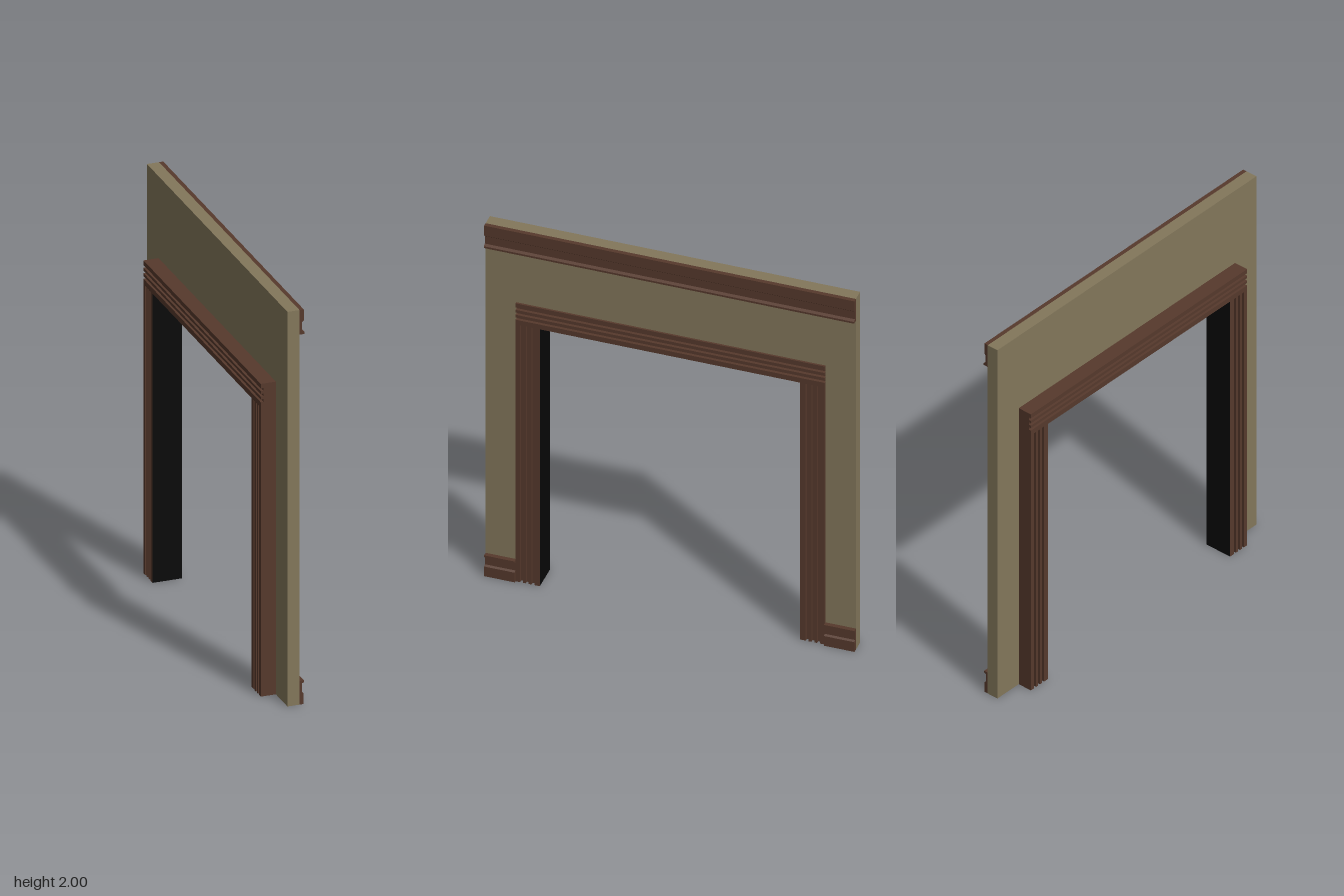
import * as THREE from 'three';

const paint = new THREE.MeshStandardMaterial({ color: 0x83775b });
paint.name = 'wallPaint';
const wood = new THREE.MeshStandardMaterial({ color: 0x56392c });
wood.name = 'darkWood';
const black = new THREE.MeshStandardMaterial({ color: 0x080808 });
black.name = 'blackLining';

const HALF = 0.91, IN = 0.64, OUT = 0.76, LINTEL = 1.465, CASING = 0.12;
const WALL_BACK = -0.005, WALL_FRONT = 0.055;

// Box given by its limits on each axis
function block(name, x, y, z, material) {
  const g = new THREE.BoxGeometry(x[1] - x[0], y[1] - y[0], z[1] - z[0]);
  g.translate((x[0] + x[1]) / 2, (y[0] + y[1]) / 2, (z[0] + z[1]) / 2);
  const mesh = new THREE.Mesh(g, material);
  mesh.name = name;
  return mesh;
}

// Moulding profile in x, y swept along z
function moulding(name, points, z0, z1) {
  const shape = new THREE.Shape(points.map(p => new THREE.Vector2(...p)));
  const g = new THREE.ExtrudeGeometry(shape, { depth: z1 - z0, bevelEnabled: false });
  g.translate(0, 0, z0);
  const mesh = new THREE.Mesh(g, wood);
  mesh.name = name;
  return mesh;
}

export function createModel() {
  const model = new THREE.Group();
  model.name = 'doorwayWall';

  // Wall panel around the cased opening
  const outline = new THREE.Shape([
    [-HALF, 0], [-OUT, 0], [-OUT, LINTEL + CASING], [OUT, LINTEL + CASING],
    [OUT, 0], [HALF, 0], [HALF, 2], [-HALF, 2],
  ].map(p => new THREE.Vector2(...p)));
  const wallGeo = new THREE.ExtrudeGeometry(outline, { depth: WALL_FRONT - WALL_BACK, bevelEnabled: false });
  wallGeo.rotateY(-Math.PI / 2).translate(WALL_FRONT, 0, 0);
  const wall = new THREE.Mesh(wallGeo, paint);
  wall.name = 'wall';
  model.add(wall);

  // Casing: a core with raised ribs on its front and back faces
  const ribs = [[0, 0.027], [0.041, 0.055], [0.069, 0.083], [0.097, CASING]];
  const coreX = [-0.067, 0.05];
  const faces = [[-0.08, coreX[0]], [coreX[1], 0.065]];

  const header = new THREE.Group();
  header.name = 'headerCasing';
  const underBlack = [wood, wood, wood, black, wood, wood];
  header.add(block('headerCore', coreX, [LINTEL, LINTEL + CASING], [-OUT, OUT], underBlack));
  for (const x of faces) {
    ribs.forEach(([a, b], i) => header.add(
      block('headerRib', x, [LINTEL + a, LINTEL + b], [-OUT, OUT], i ? wood : underBlack)));
  }
  model.add(header);

  for (const s of [1, -1]) {
    const side = s > 0 ? 'front' : 'back';
    const span = (a, b) => (s > 0 ? [a, b] : [-b, -a]);
    // Black lining on the inner side and underside
    const lined = [wood, wood, wood, black, s > 0 ? wood : black, s > 0 ? black : wood];
    const post = new THREE.Group();
    post.name = side + 'PostCasing';
    post.add(block('postCore', coreX, [0, LINTEL], span(IN, OUT), lined));
    for (const x of faces) {
      ribs.forEach(([a, b], i) => post.add(
        block('postRib', x, [0, LINTEL], span(IN + a, IN + b), i ? wood : lined)));
    }
    model.add(post);

    // Skirting beside the opening
    model.add(moulding(side + 'Skirting', [
      [WALL_FRONT, 0], [0.075, 0], [0.075, 0.055], [0.066, 0.062],
      [0.066, 0.106], [0.077, 0.11], [0.077, 0.12], [WALL_FRONT, 0.12],
    ], ...span(OUT, HALF)));
  }

  // Cornice along the top
  model.add(moulding('cornice', [
    [WALL_FRONT, 1.875], [0.08, 1.875], [0.08, 1.885], [0.067, 1.892],
    [0.067, 1.935], [0.076, 1.943], [0.076, 2], [WALL_FRONT, 2],
  ], -HALF, HALF));

  return model;
}
